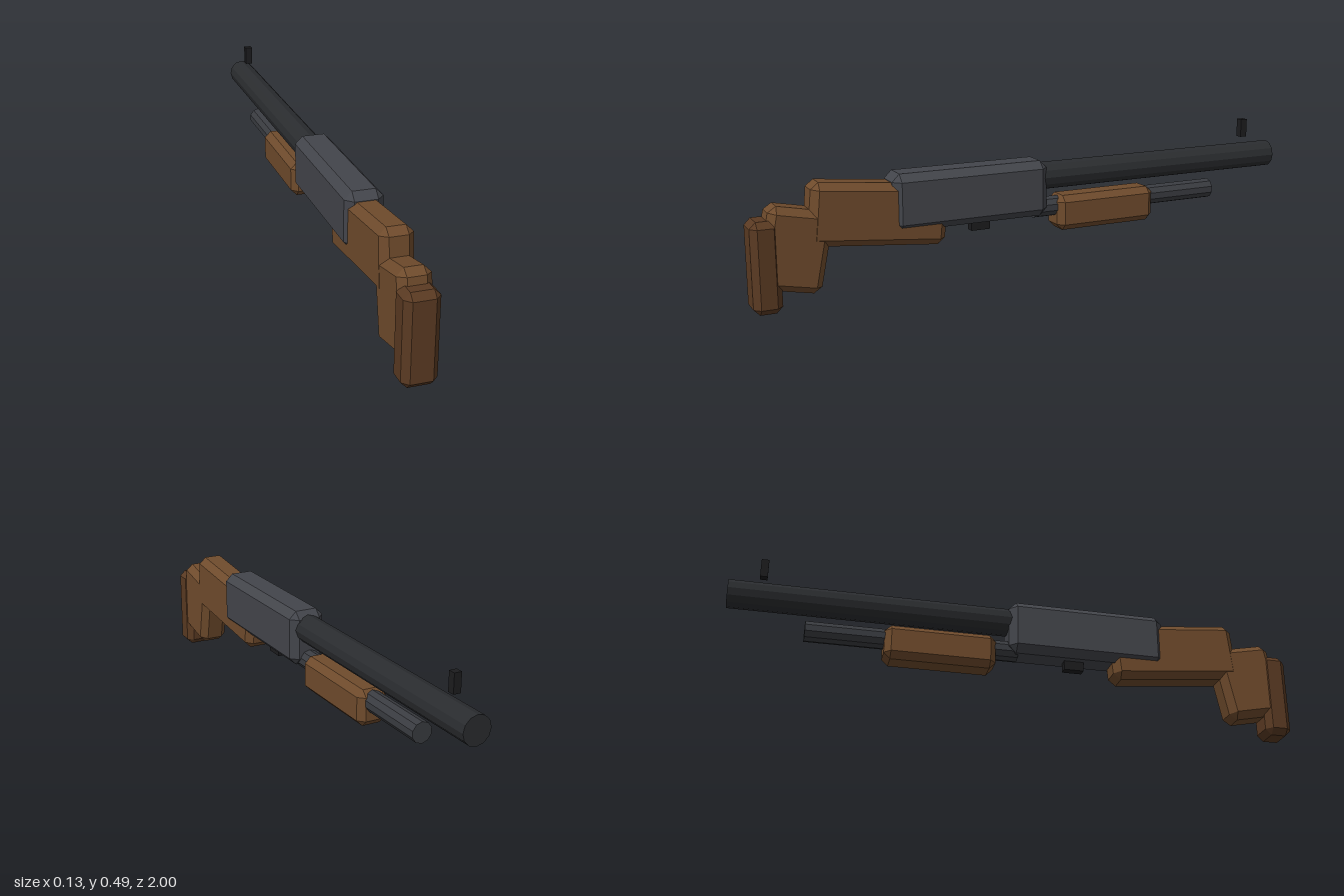
import * as THREE from 'three';
import { ConvexGeometry } from 'three/addons/geometries/ConvexGeometry.js';

const mat = (color) => new THREE.MeshStandardMaterial({ color, flatShading: true });
const wood = mat(0x6f4b2c);
const darkWood = mat(0x5a3a22);
const receiverSteel = mat(0x43454b);
const barrelSteel = mat(0x2a2c2f);
const tubeSteel = mat(0x3a3c41);
const black = mat(0x1c1c1e);

// Box with every edge and corner cut off by the bevel b
function chamferBox(w, h, d, b) {
  const points = [];
  for (const sx of [-1, 1]) for (const sy of [-1, 1]) for (const sz of [-1, 1]) {
    for (let axis = 0; axis < 3; axis++) {
      const half = [w / 2, h / 2, d / 2].map((v, i) => (i === axis ? v : v - b));
      points.push(new THREE.Vector3(sx * half[0], sy * half[1], sz * half[2]));
    }
  }
  return new ConvexGeometry(points);
}

// Cylinder lying along z
const rod = (r, length, sides) =>
  new THREE.CylinderGeometry(r, r, length, sides).rotateX(Math.PI / 2);

export function createModel() {
  const model = new THREE.Group();
  const add = (name, geometry, material, y, z, tilt = 0) => {
    const mesh = new THREE.Mesh(geometry, material);
    mesh.name = name;
    mesh.position.set(0, y, z);
    mesh.rotation.x = tilt;
    model.add(mesh);
  };

  // Metal parts
  add('receiver', chamferBox(0.13, 0.195, 0.565, 0.026), receiverSteel, 0.3175, 0.2475);
  add('barrel', rod(0.049, 1, 12), barrelSteel, 0.352, -0.5);
  add('magazineTube', rod(0.036, 0.735, 10), tubeSteel, 0.24, -0.3675);
  add('frontSight', new THREE.BoxGeometry(0.026, 0.066, 0.026), black, 0.458, -0.886);
  add('trigger', new THREE.BoxGeometry(0.03, 0.05, 0.07), black, 0.212, 0.205);

  // Wooden parts, the stock stepping down towards the back
  add('pumpGrip', chamferBox(0.108, 0.125, 0.387, 0.022), wood, 0.2175, -0.274);
  add('stockWrist', chamferBox(0.11, 0.21, 0.473, 0.024), wood, 0.286, 0.572, -0.1);
  add('stockBody', chamferBox(0.108, 0.273, 0.215, 0.024), wood, 0.198, 0.856, -0.2);
  add('buttPad', chamferBox(0.114, 0.305, 0.095, 0.021), darkWood, 0.1525, 0.9525);

  return model;
}
